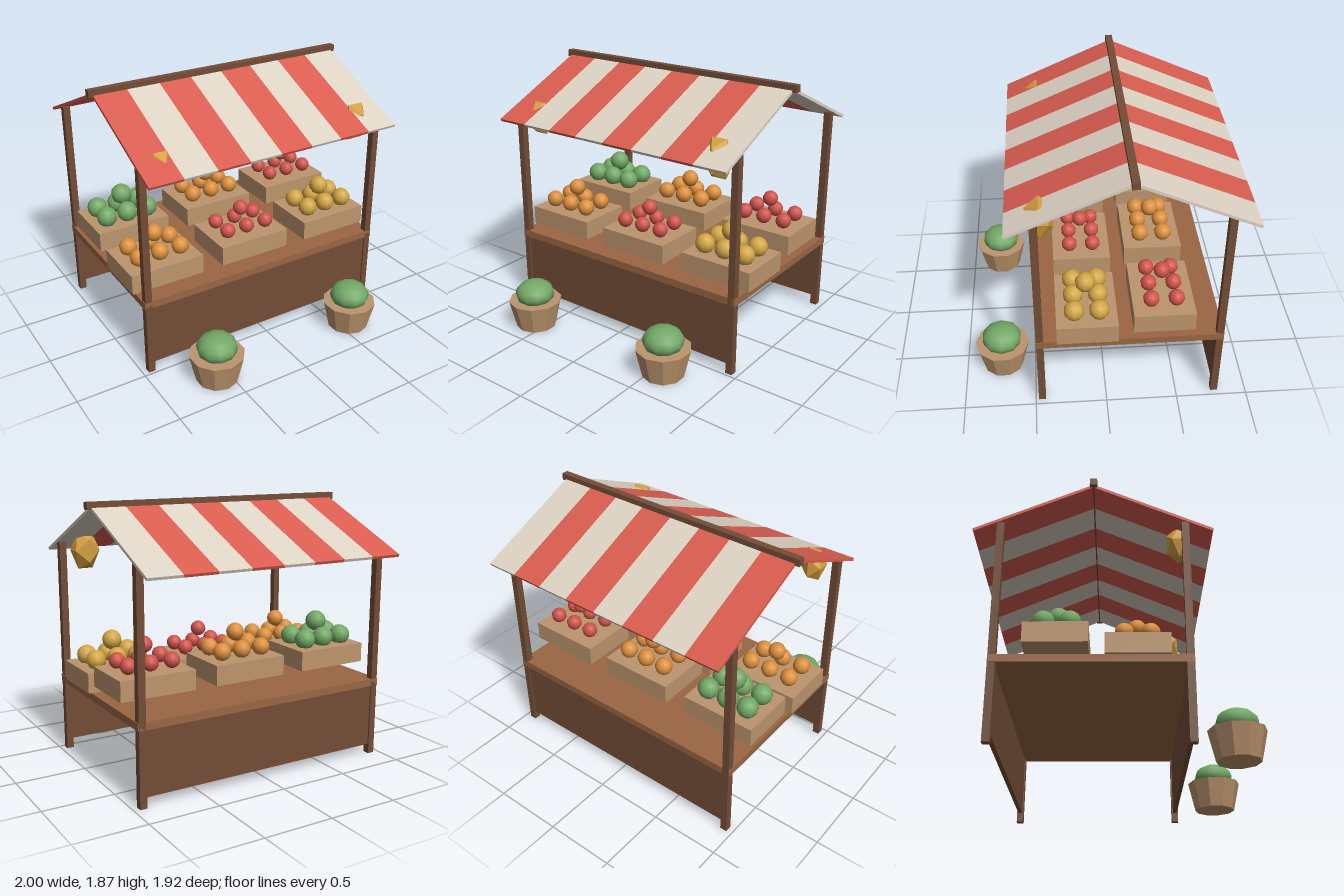
import * as THREE from 'three';

const mat = (name, color, flatShading = false) => {
  const m = new THREE.MeshStandardMaterial({ color, flatShading });
  m.name = name;
  return m;
};

export function createModel() {
  const darkWood = mat('dark wood', 0x734d36);
  const counterWood = mat('counter wood', 0x9a6643);
  const tan = mat('tan wood and clay', 0xbd956d, true);
  const red = mat('awning red', 0xd95d50);
  const cream = mat('awning cream', 0xddd3c4);
  const green = mat('leaf green', 0x72a866);
  const orange = mat('orange fruit', 0xdc8f3c);
  const yellow = mat('yellow fruit', 0xd2a645);
  const fruitRed = mat('red fruit', 0xd0534b);
  const gold = mat('lantern gold', 0xd6a041, true);

  const model = new THREE.Group();
  model.name = 'marketStall';

  const add = (name, geometry, material, x, y, z, parent = model) => {
    const mesh = new THREE.Mesh(geometry, material);
    mesh.name = name;
    mesh.position.set(x, y, z);
    parent.add(mesh);
    return mesh;
  };
  const box = (name, w, h, d, material, x, y, z, parent) =>
    add(name, new THREE.BoxGeometry(w, h, d), material, x, y, z, parent);

  // Frame: corner posts, counter and the two long panels
  const midZ = -0.16;
  for (const z of [0.455, -0.775]) {
    for (const x of [-0.935, 0.935]) box('post', 0.05, 1.55, 0.05, darkWood, x, 0.775, z);
    box(z > 0 ? 'frontPanel' : 'backPanel', 1.86, 0.45, 0.03, darkWood, 0, 0.295, z);
  }
  box('counter', 1.93, 0.052, 1.28, counterWood, 0, 0.544, midZ);

  // Striped awning: two slopes of eight strips each
  const stripes = 8, stripeWidth = 1.936 / stripes, slope = 0.417, length = 0.87;
  for (const side of [1, -1]) {
    const awning = new THREE.Group();
    awning.name = side > 0 ? 'frontAwning' : 'backAwning';
    awning.position.set(0, 1.836, midZ);
    awning.rotation.x = side * slope;
    for (let i = 0; i < stripes; i++) {
      box('awningStripe', stripeWidth, 0.02, length, i % 2 ? cream : red,
        (i - (stripes - 1) / 2) * stripeWidth, 0, side * length / 2, awning);
    }
    model.add(awning);
  }
  box('ridgeBeam', 2, 0.05, 0.05, darkWood, 0, 1.848, midZ);

  // Crates, each with a 3 by 2 layer of fruit and one on top
  const crate = (x, bottom, z, radius, material) => {
    const group = new THREE.Group();
    group.name = 'fruitCrate';
    group.position.set(x, bottom, z);
    box('crate', 0.548, 0.14, 0.416, tan, 0, 0.07, 0, group);
    const fruit = new THREE.SphereGeometry(radius, 10, 8);
    for (const fx of [-0.16, 0, 0.16]) {
      for (const fz of [-0.085, 0.085]) add('fruit', fruit, material, fx, 0.195, fz, group);
    }
    add('topFruit', fruit, material, 0, 0.303, 0, group);
    model.add(group);
  };
  const crateX = 0.71;
  crate(-crateX, 0.57, 0.13, 0.063, orange);
  crate(0, 0.57, 0.13, 0.056, fruitRed);
  crate(crateX, 0.57, 0.13, 0.07, yellow);
  crate(-crateX, 0.647, -0.387, 0.075, green);
  crate(0, 0.647, -0.387, 0.063, orange);
  crate(crateX, 0.647, -0.387, 0.056, fruitRed);

  // Faceted lanterns at the front corners
  for (const [x, r] of [[-0.776, 0.094], [0.775, 0.106]]) {
    add('lantern', new THREE.IcosahedronGeometry(r, 0), gold, x, 1.485, 0.418).scale.y = 1.46;
  }

  // Potted bushes standing in front
  for (const [x, z] of [[-0.583, 0.767], [0.578, 0.735]]) {
    add('pot', new THREE.CylinderGeometry(0.194, 0.146, 0.207, 10), tan, x, 0.1035, z);
    add('bush', new THREE.SphereGeometry(0.144, 10, 8), green, x, 0.257, z).scale.y = 0.68;
  }

  return model;
}
